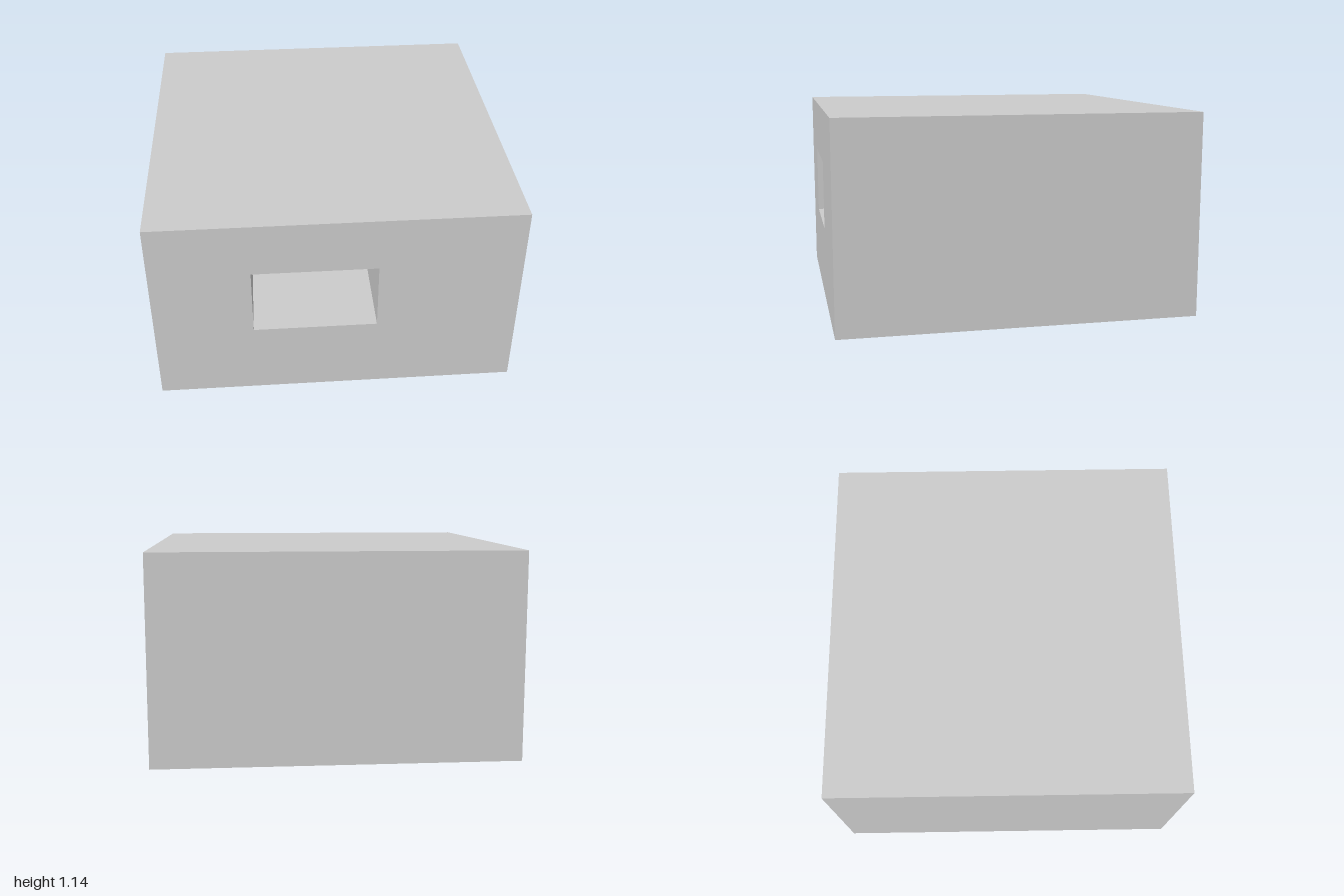
import * as THREE from 'three';

const W = 2, H = 1.14, D = 2;
const hole = { x0: -0.46, x1: 0.22, y0: 0.435, y1: 0.83 };
const WALL = 0.05;

// Box without its front face, optionally without its back, optionally facing inward
function openBox(x0, x1, y0, y1, z0, z1, { back = true, inward = false } = {}) {
  const geo = new THREE.BoxGeometry(x1 - x0, y1 - y0, z1 - z0);
  geo.translate((x0 + x1) / 2, (y0 + y1) / 2, (z0 + z1) / 2);
  const all = Array.from(geo.index.array);
  const index = back ? [...all.slice(0, 24), ...all.slice(30)] : all.slice(0, 24);
  if (inward) index.reverse();
  geo.setIndex(index);
  geo.clearGroups();
  geo.computeVertexNormals();
  return geo;
}

function rectangle(path, x0, x1, y0, y1) {
  path.moveTo(x0, y0);
  path.lineTo(x1, y0);
  path.lineTo(x1, y1);
  path.lineTo(x0, y1);
  path.closePath();
  return path;
}

export function createModel() {
  const model = new THREE.Group();
  model.name = 'blockWithOpening';
  const material = new THREE.MeshStandardMaterial({ color: 0xcccccc });
  const add = (name, geometry) => {
    const mesh = new THREE.Mesh(geometry, material);
    mesh.name = name;
    model.add(mesh);
  };
  const { x0, x1, y0, y1 } = hole;

  // Outer walls, roof and base
  add('outerShell', openBox(-W / 2, W / 2, 0, H, -D / 2, D / 2));

  // Front wall pierced by the rectangular opening
  const front = rectangle(new THREE.Shape(), -W / 2, W / 2, 0, H);
  front.holes.push(rectangle(new THREE.Path(), x0, x1, y0, y1));
  add('frontWall', new THREE.ShapeGeometry(front).translate(0, 0, D / 2));

  // Thin reveal through the front wall, then the deep recess behind it
  const inner = D / 2 - WALL;
  add('openingReveal', openBox(x0, x1, y0, y1, inner, D / 2, { back: false, inward: true }));
  add('recess', openBox(x0, x1, y0, y1, -inner, inner, { inward: true }));

  return model;
}
